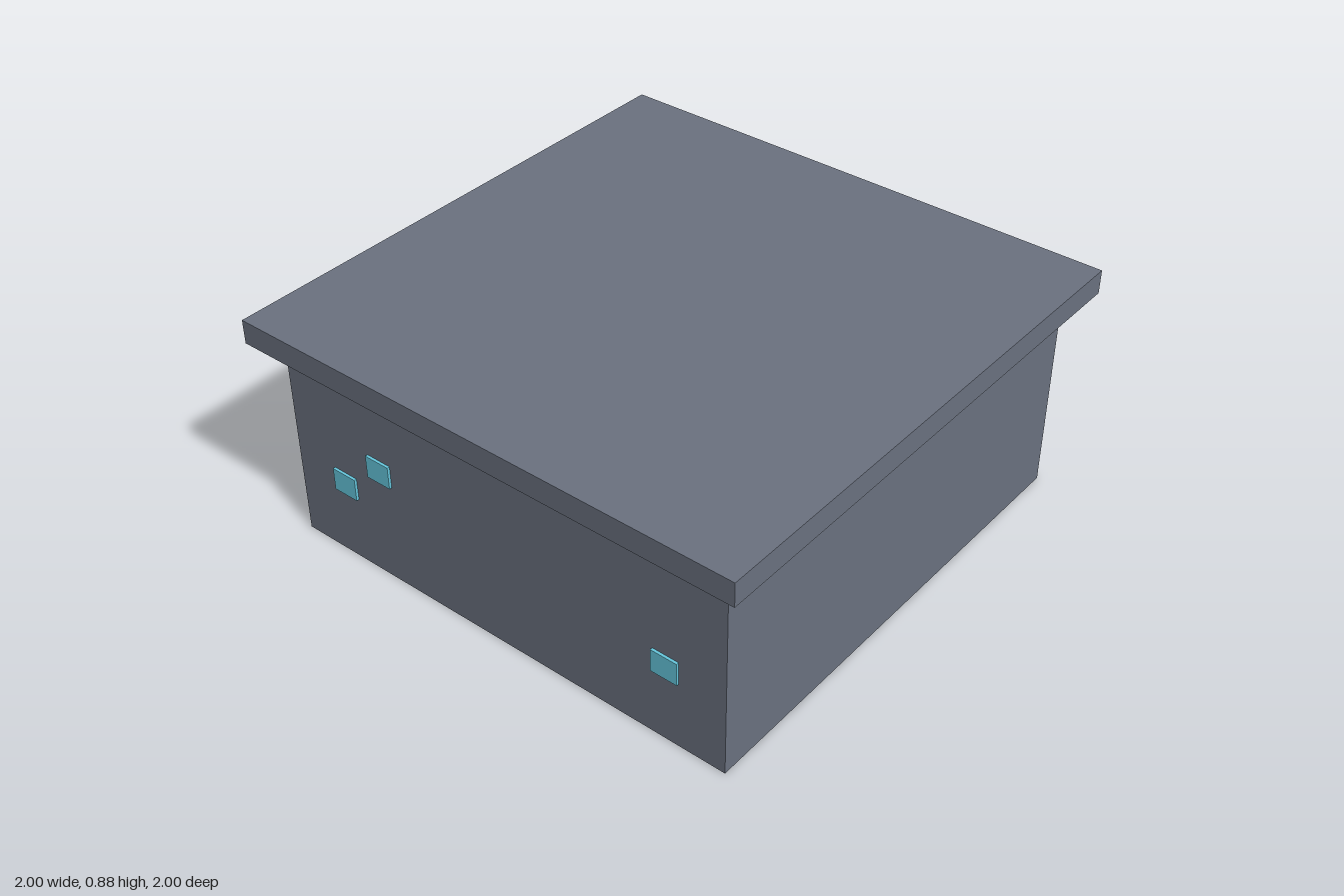
import * as THREE from 'three';

const SLATE = new THREE.MeshStandardMaterial({ color: 0x6b7280 });
const CYAN = new THREE.MeshStandardMaterial({ color: 0x67c8de });
const AMBER = new THREE.MeshStandardMaterial({ color: 0xe0a03c });

const HALF = 0.913;   // half width of the body
const WALL = 0.785;   // height of the body
const EMBED = 0.01;   // how far fittings sink into the walls

function box(name, material, size, position) {
  const mesh = new THREE.Mesh(new THREE.BoxGeometry(...size), material);
  mesh.name = name;
  mesh.position.set(...position);
  return mesh;
}

export function createModel() {
  const model = new THREE.Group();
  model.name = 'building';

  // Main block and overhanging roof slab
  model.add(box('body', SLATE, [2 * HALF, WALL, 2 * HALF], [0, WALL / 2, 0]));
  model.add(box('roofSlab', SLATE, [2, 0.09, 2], [0, WALL + 0.045, 0]));

  // Small windows on the front
  const windowDepth = 0.01 + EMBED;
  for (const [x, y] of [[-0.688, 0.307], [-0.515, 0.445], [0.683, 0.307]]) {
    model.add(box('window', CYAN, [0.102, 0.087, windowDepth],
      [x, y, HALF - EMBED + windowDepth / 2]));
  }

  // Low rails on the back and right walls
  const railDepth = 0.015 + EMBED;
  const railOffset = -HALF + EMBED - railDepth / 2;
  model.add(box('backRail', SLATE, [1.66, 0.05, railDepth], [0, 0.115, railOffset]));
  model.add(box('rightRail', SLATE, [railDepth, 0.05, 1.66], [railOffset, 0.115, 0]));

  // Light bar under the roof at the back
  const barDepth = 0.025 + EMBED;
  model.add(box('lightBar', AMBER, [0.914, 0.06, barDepth],
    [0, 0.738, -HALF + EMBED - barDepth / 2]));

  return model;
}
